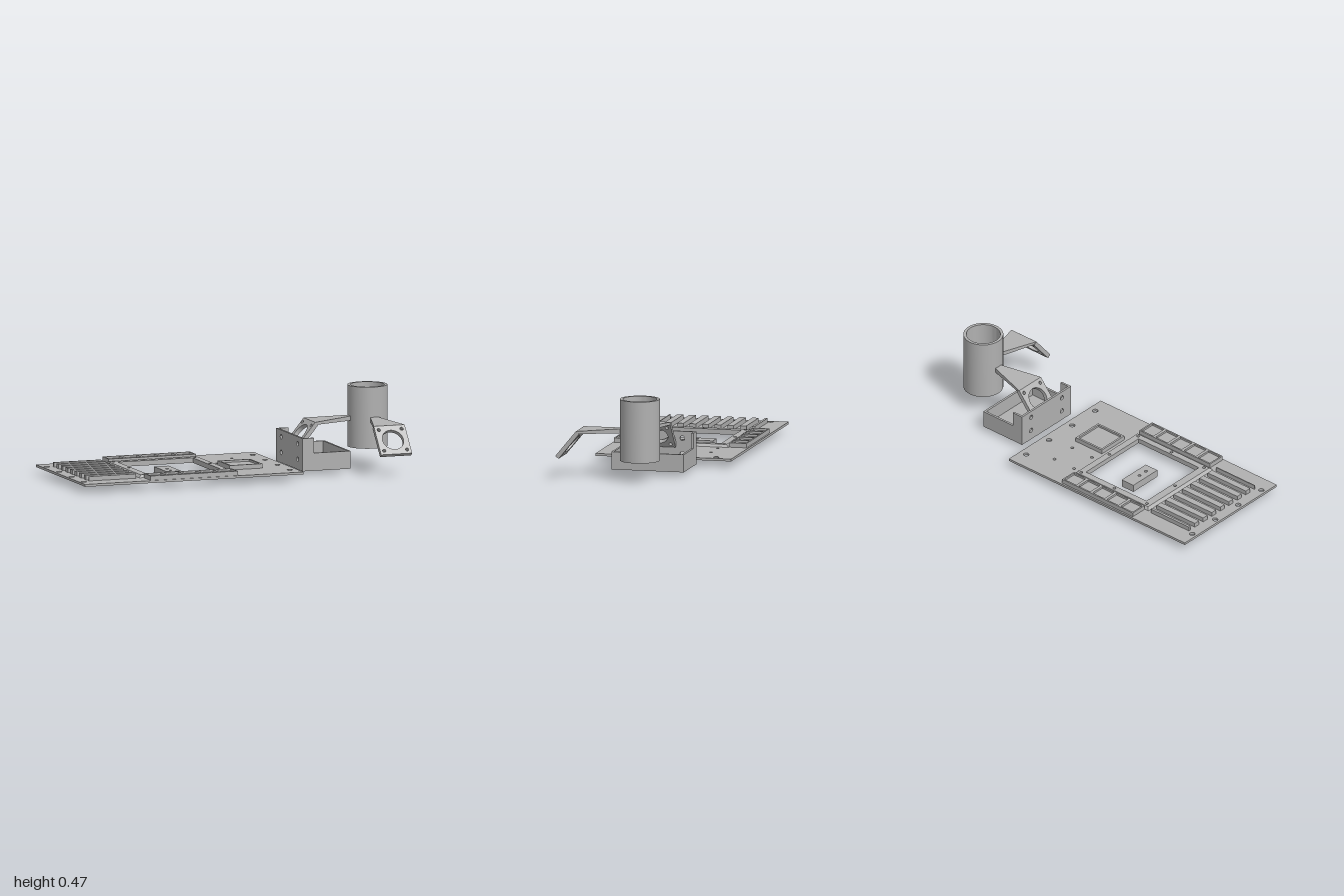
import * as THREE from 'three';
import { toCreasedNormals } from 'three/addons/utils/BufferGeometryUtils.js';

const grey = new THREE.MeshStandardMaterial({ color: 0xb0b0b0 });
grey.name = 'plain grey';

// Rectangle with rectangular holes [x0, x1, y0, y1] and round holes [x, y, r]
function rectShape([x0, x1, y0, y1], holes = []) {
  const shape = new THREE.Shape([[x0, y0], [x1, y0], [x1, y1], [x0, y1]].map(p => new THREE.Vector2(...p)));
  for (const h of holes) {
    const path = new THREE.Path();
    if (h.length === 4) {
      path.setFromPoints([[h[0], h[2]], [h[0], h[3]], [h[1], h[3]], [h[1], h[2]]].map(p => new THREE.Vector2(...p)));
    } else {
      path.absarc(h[0], h[1], h[2], 0, Math.PI * 2, true);
    }
    shape.holes.push(path);
  }
  return shape;
}

function extrude(shape, depth) {
  return new THREE.ExtrudeGeometry(shape, { depth, bevelEnabled: false, curveSegments: 28 });
}

// Slab seen from above, given in x and z, between heights y0 and y1
function slab([x0, x1, z0, z1], y0, y1, holes = []) {
  const flipped = holes.map(h => h.length === 4 ? [h[0], h[1], -h[3], -h[2]] : [h[0], -h[1], h[2]]);
  return extrude(rectShape([x0, x1, -z1, -z0], flipped), y1 - y0).rotateX(-Math.PI / 2).translate(0, y0, 0);
}

function add(parent, name, geometry) {
  const mesh = new THREE.Mesh(geometry, grey);
  mesh.name = name;
  parent.add(mesh);
  return mesh;
}

function group(parent, name) {
  const g = new THREE.Group();
  g.name = name;
  parent.add(g);
  return g;
}

// Shallow tray: floor and raised rim
function tray(parent, name, [x0, x1, z0, z1], rim) {
  add(parent, name + 'Rim', slab([x0, x1, z0, z1], 0.05, 0.078, [[x0 + rim, x1 - rim, z0 + rim, z1 - rim]]));
  add(parent, name + 'Floor', slab([x0 + rim, x1 - rim, z0 + rim, z1 - rim], 0.05, 0.066));
}

function buildBoard(root) {
  const board = group(root, 'board');
  const opening = [-0.56, -0.10, -0.27, 0.19];
  const screws = [];
  for (const x of [-0.97, 0.295]) for (const z of [-0.34, -0.14, 0.063, 0.265]) screws.push([x, z, 0.016]);
  for (const x of [-0.01, 0.14]) for (const z of [-0.27, -0.115]) screws.push([x, z, 0.009]);
  const frameHoles = [];
  for (const x of [-0.58, -0.333, -0.08]) for (const z of [-0.29, -0.042, 0.21]) {
    if (x !== -0.333 || z !== -0.042) frameHoles.push([x, z, 0.009]);
  }
  add(board, 'basePlate', slab([-1, 0.34, -0.44, 0.365], 0.038, 0.052, [opening, ...screws, ...frameHoles]));

  // Frame with sloping outer sides
  const [fx0, fx1, fz0, fz1] = [-0.622, -0.045, -0.325, 0.242];
  const frame = slab([fx0, fx1, fz0, fz1], 0.052, 0.067, [opening, ...frameHoles]);
  const p = frame.attributes.position;
  for (let i = 0; i < p.count; i++) {
    if (p.getY(i) < 0.06) continue;
    if (p.getX(i) < fx0 + 0.001) p.setX(i, fx0 + 0.015);
    if (p.getX(i) > fx1 - 0.001) p.setX(i, fx1 - 0.015);
    if (p.getZ(i) < fz0 + 0.001) p.setZ(i, fz0 + 0.015);
    if (p.getZ(i) > fz1 - 0.001) p.setZ(i, fz1 - 0.015);
  }
  frame.computeVertexNormals();
  add(board, 'openingFrame', frame);

  // Cooling fins with thin end lips
  const pitch = 0.0746;
  for (let i = 0; i < 9; i++) {
    const z0 = i === 0 ? -0.33 : -0.315 + i * pitch - 0.038;
    const z1 = i === 8 ? 0.25 : -0.315 + i * pitch;
    add(board, 'fin', slab([-0.935, -0.645, z0, z1], 0.05, 0.078));
  }

  // Two rows of small trays and one larger tray
  for (const [z0, z1] of [[-0.43, -0.327], [0.247, 0.358]]) {
    for (let i = 0; i < 5; i++) {
      const x = -0.595 + i * 0.1075;
      tray(board, 'smallTray', [x, x + 0.1075, z0, z1], 0.009);
    }
  }
  tray(board, 'largeTray', [-0.03, 0.17, -0.05, 0.147], 0.012);

  add(root, 'looseBlock', slab([-0.375, -0.287, -0.172, 0.038], 0, 0.045,
    [[-0.333, -0.07, 0.009], [-0.333, -0.013, 0.009]]));
}

function buildHolder(root) {
  const holder = group(root, 'holder');
  const [x0, x1, z0, z1, t] = [0.405, 0.70, -0.25, 0.18, 0.013];
  add(holder, 'holderFloor', slab([x0, x1, z0, z1], 0.025, 0.04));
  add(holder, 'holderLowWall', slab([x1 - t, x1, z0, z1], 0.025, 0.128));
  // Stepped cheeks
  const cheek = new THREE.Shape([[x0, 0.025], [x1, 0.025], [x1, 0.128], [0.475, 0.128], [0.475, 0.216], [x0, 0.216]]
    .map(q => new THREE.Vector2(...q)));
  for (const z of [z0, z1 - t]) add(holder, 'holderCheek', extrude(cheek, t).translate(0, 0, z));
  // Tall wall with screw holes
  const holes = [];
  for (const z of [-0.17, 0.10]) for (const y of [0.085, 0.175]) holes.push([-z, y, 0.014]);
  add(holder, 'holderTallWall', extrude(rectShape([-z1, -z0, 0.025, 0.216], holes), t)
    .rotateY(Math.PI / 2).translate(x0, 0, 0));
}

function buildArm(parent, angle) {
  const arm = group(parent, 'arm');
  arm.rotation.y = angle;
  // Tapered strut: profile in z and y, widening outwards
  const profile = new THREE.Shape([[0.105, 0.273], [0.338, 0.271], [0.356, 0.286], [0.105, 0.30]]
    .map(([z, y]) => new THREE.Vector2(-z, y)));
  const strut = extrude(profile, 2).translate(0, 0, -1).rotateY(Math.PI / 2);
  const p = strut.attributes.position;
  for (let i = 0; i < p.count; i++) {
    const k = (p.getZ(i) - 0.105) / 0.251;
    p.setX(i, p.getX(i) * THREE.MathUtils.lerp(0.022, 0.095, k));
  }
  // Shape was mirrored in z, so its winding follows the extrusion direction
  strut.computeVertexNormals();
  add(arm, 'armStrut', strut);

  // Tilted mounting plate
  const holes = [[0, 0, 0.064]];
  for (const x of [-0.07, 0.07]) for (const y of [-0.07, 0.07]) holes.push([x, y, 0.01]);
  const plate = add(arm, 'mountPlate',
    extrude(rectShape([-0.095, 0.095, -0.096, 0.096], holes), 0.025).translate(0, 0, -0.025));
  plate.rotation.x = -0.688;
  plate.position.set(0, 0.212, 0.417);
}

function buildCup(root) {
  const cup = group(root, 'cupAssembly');
  cup.position.set(0.885, 0, -0.037);
  // Hollow cup with a hole in its floor
  const pts = [[0.037, 0.117], [0.115, 0.117], [0.115, 0.475], [0.098, 0.475], [0.098, 0.14], [0.037, 0.14], [0.037, 0.117]];
  const lathe = new THREE.LatheGeometry(pts.map(q => new THREE.Vector2(...q)), 64);
  add(cup, 'cup', toCreasedNormals(lathe, 0.6));
  add(cup, 'cupSocket', slab([-0.056, 0.056, -0.056, 0.056], 0.139, 0.16, [[-0.04, 0.04, -0.04, 0.04]]));
  buildArm(cup, 0);
  buildArm(cup, -Math.PI / 2);
}

export function createModel() {
  const root = new THREE.Group();
  root.name = 'model';
  buildBoard(root);
  buildHolder(root);
  buildCup(root);
  return root;
}
